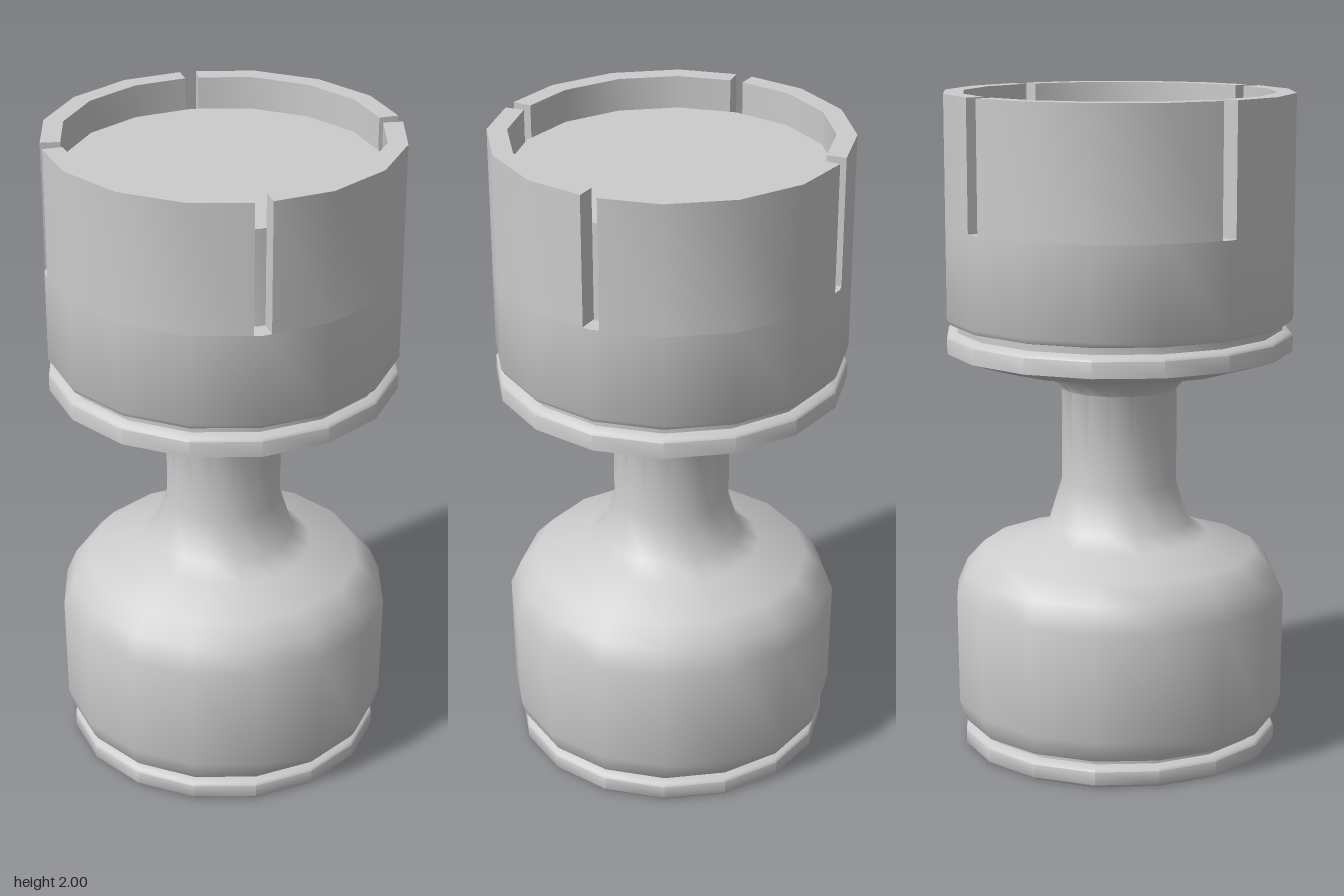
import * as THREE from 'three';
import { toCreasedNormals } from 'three/addons/utils/BufferGeometryUtils.js';

const SIDES = 16;
const STEP = (Math.PI * 2) / SIDES;
const OUTER = 0.527, INNER = 0.468;
const LEDGE = 1.61, FLOOR = 1.9, TOP = 2;

export function createModel() {
  const group = new THREE.Group();
  const material = new THREE.MeshStandardMaterial({ color: 0xcccccc });

  const add = (name, geometry) => {
    const mesh = new THREE.Mesh(toCreasedNormals(geometry, 0.75), material);
    mesh.name = name;
    group.add(mesh);
    return mesh;
  };
  const turned = (name, profile) =>
    add(name, new THREE.LatheGeometry(profile.map(([r, y]) => new THREE.Vector2(r, y)), SIDES));

  // Foot disc with the narrow groove above it
  turned('foot', [
    [0, 0], [0.478, 0], [0.485, 0.008], [0.485, 0.048], [0.478, 0.056],
    [0.45, 0.06], [0.45, 0.08],
  ]);

  // Rounded base that sweeps up through the neck into the flared collar
  turned('baseAndNeck', [
    [0.45, 0.077], [0.48, 0.08], [0.492, 0.1], [0.505, 0.145], [0.509, 0.476],
    [0.477, 0.55], [0.423, 0.608], [0.275, 0.65], [0.217, 0.69],
    [0.177, 0.82], [0.177, 1.11], [0.217, 1.157], [0.41, 1.195],
    [0.527, 1.232], [0.527, 1.28], [0.52, 1.288], [0.495, 1.295],
  ]);

  // Groove and solid lower part of the head, ending in the slot floors
  turned('head', [
    [0.495, 1.295], [0.495, 1.315], [0.518, 1.32], [OUTER, 1.335],
    [OUTER, LEDGE], [INNER, LEDGE],
  ]);

  // Inner core, whose top is the sunken floor
  turned('core', [[INNER, LEDGE], [INNER, FLOOR], [0, FLOOR]]);

  // Four wall sections separated by narrow slots
  const edge = (radius, halfSlot) => {
    const x = radius - halfSlot * Math.tan(STEP / 2);
    const points = [new THREE.Vector2(x, halfSlot)];
    for (let i = 1; i < 4; i++) {
      points.push(new THREE.Vector2(radius * Math.cos(i * STEP), radius * Math.sin(i * STEP)));
    }
    points.push(new THREE.Vector2(halfSlot, x));
    return points;
  };
  const section = new THREE.Shape([...edge(OUTER, 0.025), ...edge(INNER, 0.02).reverse()]);
  for (let i = 0; i < 4; i++) {
    const geometry = new THREE.ExtrudeGeometry(section, { depth: TOP - LEDGE, bevelEnabled: false });
    geometry.rotateX(-Math.PI / 2);
    geometry.rotateY((i * Math.PI) / 2);
    geometry.translate(0, LEDGE, 0);
    add('wallSection' + (i + 1), geometry);
  }

  return group;
}
